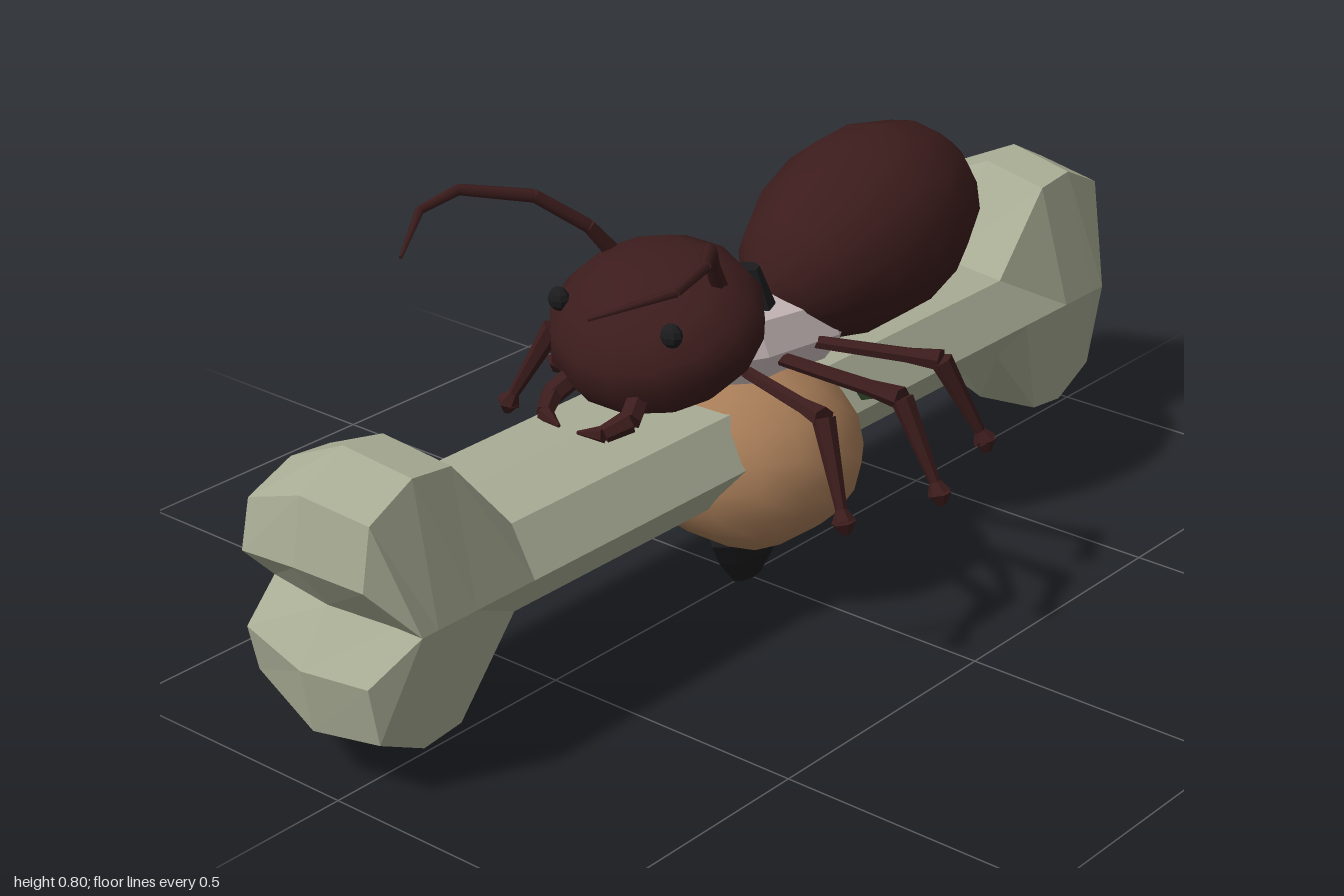
import * as THREE from 'three';
import { mergeGeometries } from 'three/addons/utils/BufferGeometryUtils.js';

const mat = (color, flatShading = false) => new THREE.MeshStandardMaterial({ color, flatShading });
const V = (p) => new THREE.Vector3(...p);
const maroon = mat(0x3c1c1c), maroonFlat = mat(0x3c1c1c, true), black = mat(0x1c1c1e, true);
const boneMat = mat(0xa8ac94, true), nutMat = mat(0xa87d58), pale = mat(0xd0c0c0, true);
const leafMat = new THREE.MeshStandardMaterial({ color: 0x3c5a34, side: THREE.DoubleSide });

function part(name, geometry, material, pos = [0, 0, 0], rot = [0, 0, 0]) {
  const m = new THREE.Mesh(geometry, material);
  m.name = name;
  m.position.set(...pos);
  m.rotation.set(...rot);
  return m;
}

function ellipsoid(rx, ry, rz, w = 12, h = 8) {
  return new THREE.SphereGeometry(1, w, h).scale(rx, ry, rz);
}

// Chain of tapered rods through the given points
function limb(points, radii, sides = 6) {
  const rods = [];
  for (let i = 0; i + 1 < points.length; i++) {
    const a = V(points[i]), b = V(points[i + 1]), d = b.clone().sub(a);
    const q = new THREE.Quaternion().setFromUnitVectors(V([0, 1, 0]), d.clone().normalize());
    const mid = a.add(b).multiplyScalar(0.5);
    rods.push(new THREE.CylinderGeometry(radii[i + 1], radii[i], d.length(), sides)
      .applyQuaternion(q).translate(mid.x, mid.y, mid.z));
  }
  return mergeGeometries(rods);
}

// Bone: side outline repeated at several x positions, closing to a ridge on +x
function boneGeometry() {
  const quarter = [[0.935, 0], [1, 0.09], [0.98, 0.205], [0.885, 0.255], [0.8, 0.245], [0.67, 0.085]];
  const upper = [...quarter, ...quarter.map(([z, y]) => [-z, y]).reverse()];
  const outline = [...upper, ...upper.slice(1, -1).map(([z, y]) => [z, -y]).reverse()];
  const ring = (x, sz, sy) => outline.map(([z, y]) => [x, 0.295 + y * sy, z * sz]);
  const ridge = outline.map(([z]) => [0.122, 0.295, Math.sign(z) * Math.min(Math.abs(z), 0.92)]);
  const rings = [ring(-0.21, 0.98, 0.74), ring(-0.07, 1, 1), ring(0.065, 0.985, 0.92), ridge];
  const pos = [], n = outline.length;
  for (let i = 0; i < 3; i++) {
    for (let j = 0; j < n; j++) {
      const k = (j + 1) % n;
      const a = rings[i][j], b = rings[i][k], c = rings[i + 1][k], d = rings[i + 1][j];
      pos.push(...a, ...d, ...c, ...a, ...c, ...b);
    }
  }
  const flat = rings[0].map(([, y, z]) => new THREE.Vector2(z, y));
  for (const f of THREE.ShapeUtils.triangulateShape(flat, [])) {
    for (const i of f) pos.push(...rings[0][i]);
  }
  const g = new THREE.BufferGeometry();
  g.setAttribute('position', new THREE.Float32BufferAttribute(pos, 3));
  g.computeVertexNormals();
  return g;
}

// Round nut with shallow grooves running to its lower end
function nutGeometry() {
  const g = ellipsoid(0.21, 0.175, 0.2, 16, 10), p = g.attributes.position, v = new THREE.Vector3();
  for (let i = 0; i < p.count; i++) {
    v.fromBufferAttribute(p, i);
    const low = Math.max(0, -v.y / 0.175);
    const s = 1 - 0.06 * low * (0.5 + 0.5 * Math.cos(4 * Math.atan2(v.z, v.x)));
    p.setXYZ(i, v.x * s, v.y * s, v.z * s);
  }
  g.computeVertexNormals();
  return g;
}

function lathe(profile, sides) {
  return new THREE.LatheGeometry(profile.map(([r, y]) => new THREE.Vector2(r, y)), sides);
}

export function createModel() {
  const model = new THREE.Group();
  model.name = 'antOnBone';
  model.add(part('bone', boneGeometry(), boneMat));

  // Nut hanging below, with dark end and leaf
  model.add(part('nut', nutGeometry(), nutMat, [0, 0.25, 0]));
  model.add(part('nutTip', lathe([[0, 0], [0.035, 0], [0.075, 0.05], [0.095, 0.09], [0.07, 0.12], [0, 0.125]], 8)
    .scale(0.45, 1, 1), black));
  const leaf = new THREE.Shape([[-0.055, 0], [0, -0.02], [0.055, 0], [0, 0.02]].map((p) => new THREE.Vector2(...p)));
  model.add(part('leaf', new THREE.ShapeGeometry(leaf), leafMat, [0.125, 0.335, -0.175], [-0.6, Math.PI / 2, 0]));

  // Body
  model.add(part('thorax', lathe([[0, -0.25], [0.045, -0.24], [0.085, -0.14], [0.09, 0.06], [0.065, 0.18], [0.04, 0.25], [0, 0.25]], 8)
    .scale(1.1, 1, 0.85), pale, [0, 0.46, 0], [Math.PI / 2 - 0.12, 0, 0]));
  model.add(part('backKnob', new THREE.CylinderGeometry(0.022, 0.05, 0.07, 8), black, [0, 0.555, 0]));
  model.add(part('abdomen', lathe([[0, -0.27], [0.07, -0.25], [0.125, -0.19], [0.165, -0.1], [0.182, 0],
    [0.172, 0.09], [0.13, 0.185], [0.06, 0.25], [0, 0.275]], 14).scale(1, 1, 0.95),
    maroon, [0, 0.565, -0.315], [-Math.PI / 2 + 0.22, 0, 0]));

  // Head, tilted nose down
  model.add(part('head', ellipsoid(0.195, 0.118, 0.178, 14, 8), maroon, [0, 0.56, 0.235], [0.44, 0, 0]));

  // Mirrored face parts and legs
  const legs = [
    ['frontLeg', 0.09, [0.3, 0.45, 0.165], [0.375, 0.3, 0.205]],
    ['middleLeg', 0.01, [0.35, 0.45, 0.02], [0.43, 0.3, 0.018]],
    ['rearLeg', -0.08, [0.305, 0.45, -0.15], [0.365, 0.3, -0.2]],
  ];
  for (const [side, s] of [['left', 1], ['right', -1]]) {
    const m = ([x, y, z]) => [s * x, y, z];
    model.add(part(side + 'Eye', ellipsoid(0.021, 0.021, 0.016, 8, 6), black, m([0.123, 0.605, 0.338])));
    model.add(part(side + 'Antenna', limb([[0.115, 0.65, 0.21], [0.135, 0.705, 0.25], [0.19, 0.765, 0.32],
      [0.265, 0.787, 0.42], [0.275, 0.772, 0.5], [0.2, 0.745, 0.62]].map(m),
      [0.016, 0.013, 0.012, 0.01, 0.008, 0.003]), maroon));
    model.add(part(side + 'Mandible', limb([[0.07, 0.49, 0.36], [0.085, 0.465, 0.4], [0.065, 0.45, 0.44],
      [0.02, 0.445, 0.455]].map(m), [0.02, 0.02, 0.015, 0.003]), maroonFlat));
    for (const [name, z, knee, foot] of legs) {
      const hip = [0.07, 0.445, z];
      const thigh = V(hip).lerp(V(knee), 0.75).toArray();
      const toe = [foot[0] + 0.005, foot[1] - 0.02, foot[2]];
      const ankle = V(foot).lerp(V(knee), 0.12).toArray();
      model.add(part(side + name[0].toUpperCase() + name.slice(1),
        limb([hip, thigh, knee, ankle, foot, toe].map(m), [0.012, 0.014, 0.02, 0.01, 0.021, 0.008]), maroonFlat));
    }
  }
  return model;
}
